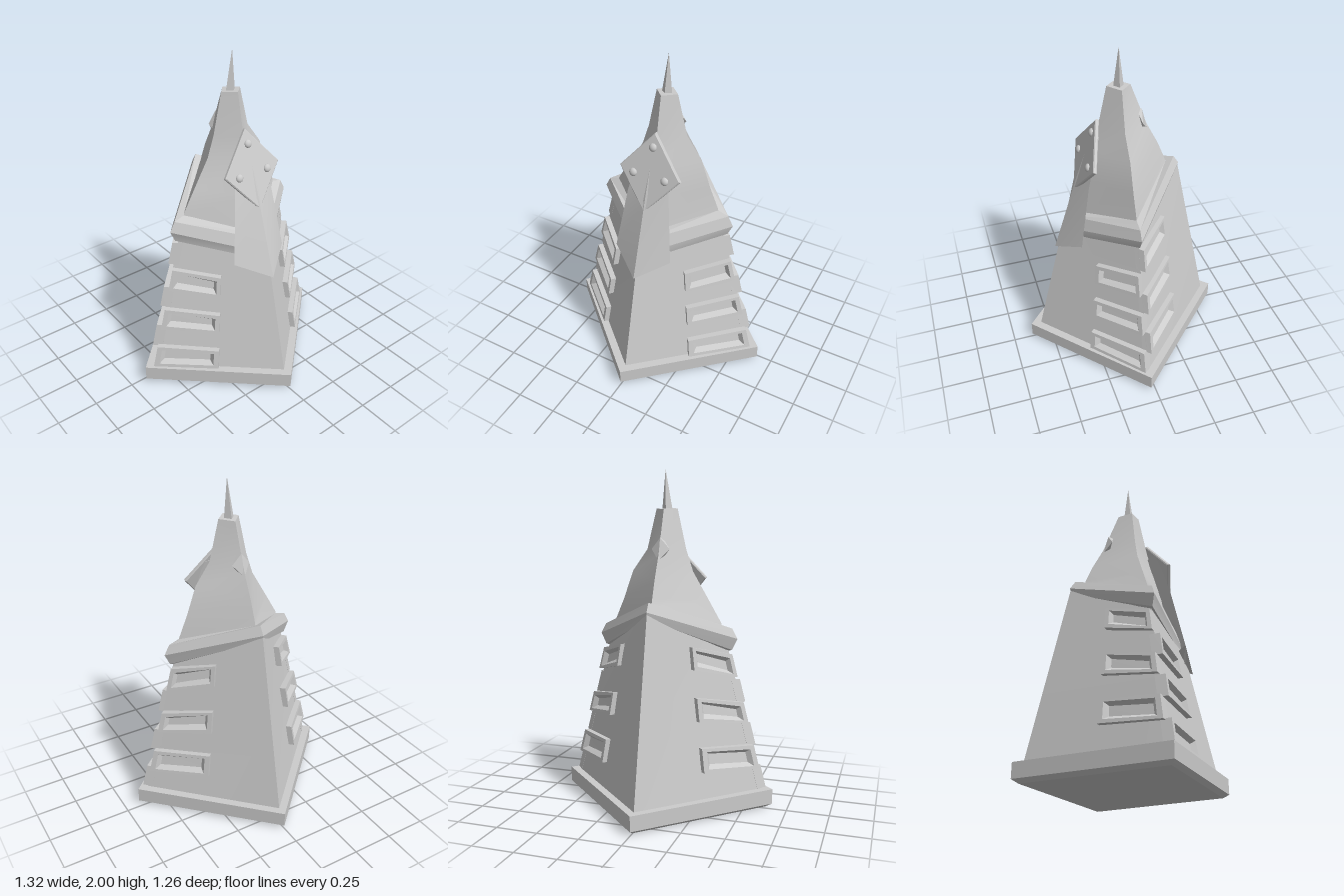
import * as THREE from 'three';
import { toCreasedNormals } from 'three/addons/utils/BufferGeometryUtils.js';
import { ConvexGeometry } from 'three/addons/geometries/ConvexGeometry.js';

const material = new THREE.MeshStandardMaterial({ color: 0xcccccc });
const TIP_Z = 0.028; // depth of the side corners

// Skin closed rings of points; rings run counter-clockwise seen from the last one
function loft(rings, caps = true, crease = 0.3) {
  const out = [];
  const tri = (a, b, c) => out.push(...a, ...b, ...c);
  const n = rings[0].length;
  for (let i = 0; i < rings.length - 1; i++) {
    for (let j = 0; j < n; j++) {
      const k = (j + 1) % n;
      tri(rings[i][j], rings[i][k], rings[i + 1][k]);
      tri(rings[i][j], rings[i + 1][k], rings[i + 1][j]);
    }
  }
  if (caps) {
    const first = rings[0], last = rings[rings.length - 1];
    for (let j = 1; j < n - 1; j++) {
      tri(first[0], first[j + 1], first[j]);
      tri(last[0], last[j], last[j + 1]);
    }
  }
  const geo = new THREE.BufferGeometry();
  geo.setAttribute('position', new THREE.Float32BufferAttribute(out, 3));
  return toCreasedNormals(geo, crease);
}

// Diamond ring: right x, left x, side y, back [z, y], front [z, y]
const diamond = (xr, xl, y, back, front, tipZ = TIP_Z) => [
  [xr, y, tipZ], [0, back[1], back[0]], [xl, y, tipZ], [0, front[1], front[0]],
];

// Sloping corner lines of the main body
const tipX = (y) => 0.623 - 0.258 * y;
const cornerZ = (y, sz) => (sz > 0 ? 0.593 - 0.243 * y : -(0.589 - 0.209 * y));

// Point on a body face: t from side corner to front/back corner, h outwards
function facePoint(sx, sz, t, y, h) {
  const x = tipX(y), z = cornerZ(y, sz), dz = z - TIP_Z;
  const len = Math.hypot(x, dz);
  return [
    sx * (x * (1 - t) + (h * Math.abs(dz)) / len),
    y,
    TIP_Z + dz * t + (sz * h * x) / len,
  ];
}

// Raised window frame with a sunken, sloped pane
function windowFrame(sx, sz, [lowTip, highTip, lowFar, highFar], far) {
  const ring = (inT, inY, h) => {
    const pts = [
      facePoint(sx, sz, inT, lowTip + inY, h),
      facePoint(sx, sz, inT, highTip - inY, h),
      facePoint(sx, sz, far - inT, highFar - inY, h),
      facePoint(sx, sz, far - inT, lowFar + inY, h),
    ];
    return sx * sz > 0 ? pts : pts.reverse();
  };
  return loft([
    ring(0, 0, -0.03), ring(0, 0, 0.032),
    ring(0.04, 0.02, 0.032), ring(0.07, 0.04, 0.004),
  ]);
}

export function createModel() {
  const model = new THREE.Group();
  const add = (name, geo, parent = model) => {
    const mesh = new THREE.Mesh(geo, material);
    mesh.name = name;
    parent.add(mesh);
    return mesh;
  };

  // Plinth with a bevelled underside
  add('plinth', loft([
    diamond(0.62, -0.62, 0, [-0.585, 0], [0.59, 0]),
    diamond(0.66, -0.66, 0.022, [-0.627, 0.022], [0.63, 0.022]),
    diamond(0.66, -0.66, 0.112, [-0.627, 0.112], [0.63, 0.112]),
  ]));

  // Tapering body with a top that rises to the back
  const bodyRing = (ySide, yBack, yFront) => diamond(
    tipX(ySide), -tipX(ySide), ySide,
    [cornerZ(yBack, -1), yBack], [cornerZ(yFront, 1), yFront]);
  add('body', loft([bodyRing(0.1, 0.1, 0.1), bodyRing(0.5, 0.5, 0.5), bodyRing(1.02, 1.19, 0.88)]));

  // Tilted collar around the body
  add('collar', loft([
    diamond(0.34, -0.34, 0.93, [-0.28, 1.12], [0.34, 0.82]),
    diamond(0.402, -0.402, 0.942, [-0.335, 1.15], [0.382, 0.825]),
    diamond(0.434, -0.434, 1.01, [-0.347, 1.192], [0.385, 0.875]),
    diamond(0.402, -0.402, 1.07, [-0.315, 1.243], [0.355, 0.955]),
    diamond(0.335, -0.335, 1.09, [-0.265, 1.22], [0.29, 0.97]),
  ], false));

  // Shoulders and neck, slightly lopsided
  add('shoulders', loft([
    diamond(0.35, -0.35, 1.02, [-0.29, 1.19], [0.31, 0.9]),
    diamond(0.335, -0.335, 1.1, [-0.265, 1.215], [0.275, 0.98]),
    diamond(0.28, -0.26, 1.23, [-0.25, 1.26], [0.25, 1.2]),
    diamond(0.22, -0.16, 1.4, [-0.21, 1.36], [0.19, 1.38]),
    diamond(0.127, -0.117, 1.53, [-0.14, 1.5], [0.15, 1.52]),
    diamond(0.068, -0.063, 1.77, [-0.042, 1.765], [0.095, 1.775]),
  ], true, 0.6));

  // Spike
  add('spike', loft([
    diamond(0.033, -0.033, 1.755, [-0.005, 1.755], [0.058, 1.755]),
    Array.from({ length: 4 }, () => [0.012, 2, TIP_Z]),
  ], false));

  // Windows: front and back rows interleave in height
  const frontRows = [[0.115, 0.25, 0.12, 0.24], [0.375, 0.505, 0.36, 0.48], [0.63, 0.765, 0.6, 0.725]];
  const backRows = [[0.24, 0.38, 0.265, 0.405], [0.51, 0.635, 0.555, 0.69], [0.785, 0.92, 0.85, 0.98]];
  const windows = new THREE.Group();
  windows.name = 'windows';
  model.add(windows);
  for (const sx of [1, -1]) {
    frontRows.forEach((row) => add('frontWindow', windowFrame(sx, 1, row, 0.5), windows));
    backRows.forEach((row) => add('backWindow', windowFrame(sx, -1, row, 0.47), windows));
  }

  // Folded tongue hanging over the front edge
  add('tongue', loft([
    diamond(0.175, -0.19, 0.835, [0.385, 0.745], [0.435, 0.735], 0.31),
    diamond(0.13, -0.135, 1.21, [0.22, 1.2], [0.288, 1.2], 0.245),
    diamond(0.085, -0.085, 1.47, [0.14, 1.47], [0.195, 1.47], 0.175),
  ]));

  // Leaning square plate with three rivets
  const plate = new THREE.Group();
  plate.name = 'plate';
  plate.position.set(0, 1.357, 0.226);
  plate.rotation.x = -0.315;
  model.add(plate);
  const outline = new THREE.Shape([[0, -0.226], [0.184, 0], [0, 0.226], [-0.184, 0]]
    .map(([x, y]) => new THREE.Vector2(x, y)));
  add('plateBoard', new THREE.ExtrudeGeometry(outline, {
    depth: 0.014, bevelEnabled: true, bevelThickness: 0.005, bevelSize: 0.006, bevelSegments: 1,
  }).translate(0, 0, -0.012), plate);
  for (const [x, y] of [[0, 0.15], [0.1, -0.02], [-0.1, -0.02]]) {
    const rivet = add('rivet', new THREE.SphereGeometry(0.024, 16, 10), plate);
    rivet.position.set(x, y, 0.006);
    rivet.scale.z = 0.7;
  }

  // Small faceted boss on the back of the neck
  add('backBoss', new ConvexGeometry([
    [0, 1.61, -0.075], [0, 1.6, -0.11], [0.055, 1.535, -0.1], [-0.055, 1.535, -0.1],
    [0, 1.47, -0.145], [0, 1.46, -0.11],
  ].map((p) => new THREE.Vector3(...p))));

  return model;
}
